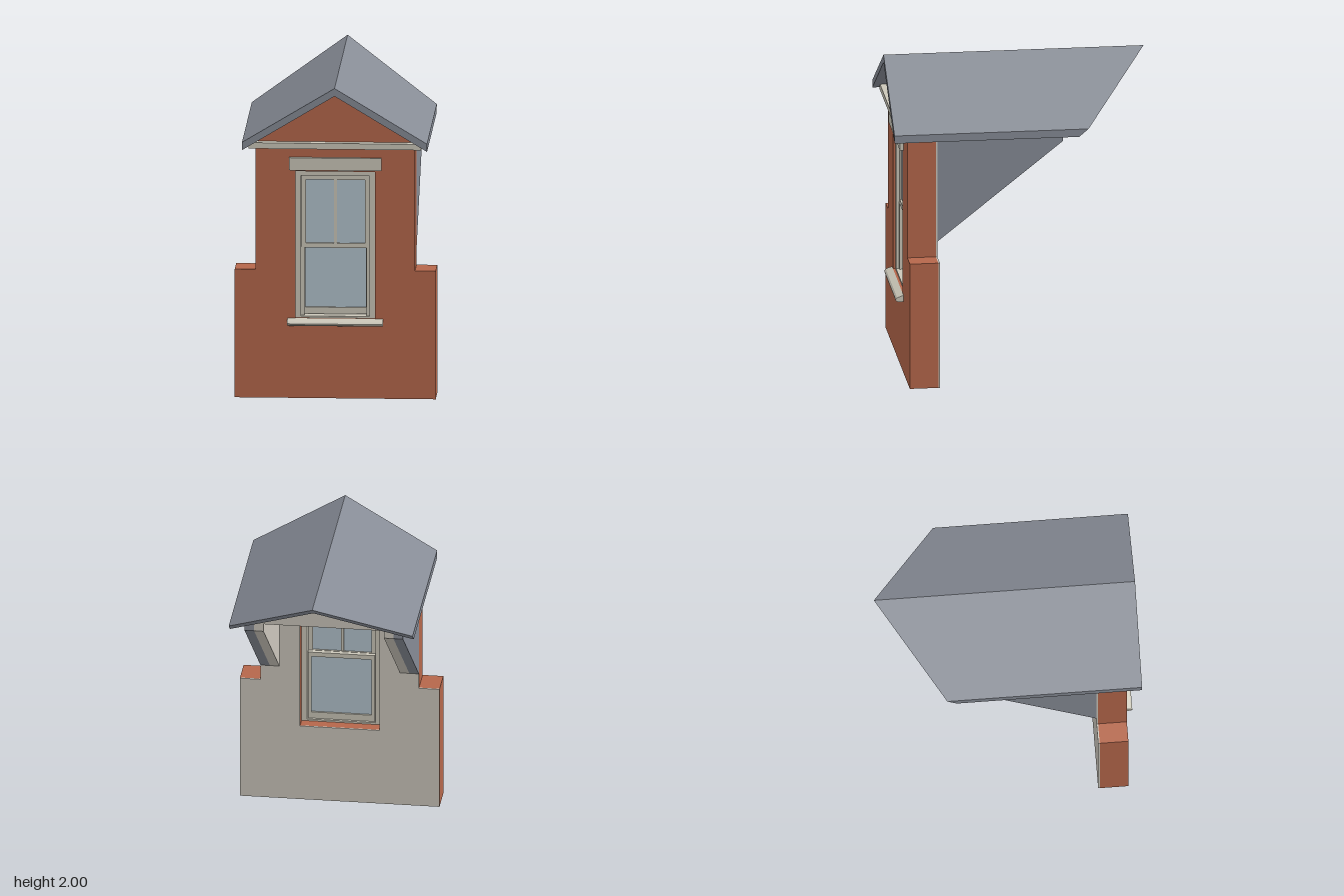
import * as THREE from 'three';

const mat = (name, color) => {
  const m = new THREE.MeshStandardMaterial({ color });
  m.name = name;
  return m;
};

export function createModel() {
  const model = new THREE.Group();
  model.name = 'dormer';
  const brick = mat('brick', 0xb5674b);
  const slate = mat('slate', 0x868b95);
  const plaster = mat('plaster', 0xcbc6bc);
  const trim = mat('trim', 0xcbc7b9);
  const glass = mat('glass', 0xb3c3cd);

  const add = (name, geometry, material, parent = model) => {
    const mesh = new THREE.Mesh(geometry, material);
    mesh.name = name;
    parent.add(mesh);
    return mesh;
  };
  const box = (name, x0, x1, y0, y1, z0, z1, material, parent) => {
    const g = new THREE.BoxGeometry(x1 - x0, y1 - y0, z1 - z0);
    g.translate((x0 + x1) / 2, (y0 + y1) / 2, (z0 + z1) / 2);
    return add(name, g, material, parent);
  };
  const outline = (pts) => new THREE.Shape(pts.map(([x, y]) => new THREE.Vector2(x, y)));
  // Shape in x, y, extruded from z0 to z1
  const slab = (shape, z0, z1) =>
    new THREE.ExtrudeGeometry(shape, { depth: z1 - z0, bevelEnabled: false }).translate(0, 0, z0);
  // Shape in z, y, extruded from x0 to x1
  const sideSlab = (pts, x0, x1) =>
    new THREE.ExtrudeGeometry(outline(pts), { depth: x1 - x0, bevelEnabled: false })
      .rotateY(-Math.PI / 2).translate(x1, 0, 0);
  const rectPath = (x, y0, y1) =>
    new THREE.Path([[-x, y0], [-x, y1], [x, y1], [x, y0]].map(([a, b]) => new THREE.Vector2(a, b)));
  const frame = (x, y0, y1, hx, hy0, hy1, z0, z1) => {
    const s = outline([[-x, y0], [x, y0], [x, y1], [-x, y1]]);
    s.holes.push(rectPath(hx, hy0, hy1));
    return slab(s, z0, z1);
  };

  // Roof measurements
  const slope = 0.35 / 0.58;
  const under = (x) => 1.95 - Math.abs(x) * slope;

  // Front wall with window opening, brick outside and plaster inside
  const wall = outline([
    [-0.63, 0], [0.63, 0], [0.63, 0.82], [0.5, 0.82], [0.5, under(0.5)],
    [0, 1.95], [-0.5, under(0.5)], [-0.5, 0.82], [-0.63, 0.82],
  ]);
  wall.holes.push(rectPath(0.25, 0.51, 1.45));
  add('brickWall', slab(wall, 0.55, 0.73), brick);
  add('wallPlaster', slab(wall, 0.54, 0.55), plaster);

  // Pitched roof; its back end is cut along the slope of the main roof
  const roof = slab(outline([
    [-0.58, 1.6], [0, 1.95], [0.58, 1.6], [0.58, 1.65], [0, 2], [-0.58, 1.65],
  ]), -0.82, 0.82);
  const p = roof.attributes.position;
  for (let i = 0; i < p.count; i++) {
    if (p.getZ(i) < 0) p.setZ(i, -0.82 + (2 - p.getY(i)) * 1.19);
  }
  roof.computeVertexNormals();
  add('roof', roof, slate);

  // Side cheeks: slate outside, plaster lining inside
  const cheek = (top) => [[-0.25, 1.55], [0.54, 0.92], [0.54, top], [-0.25, top]];
  for (const side of [1, -1]) {
    const layer = (name, a, b, top, m) =>
      add(name, sideSlab(cheek(top), side > 0 ? a : -b, side > 0 ? b : -a), m);
    layer('cheekSlate', 0.44, 0.5, 1.67, slate);
    layer('cheekLining', 0.38, 0.44, 1.7, plaster);
  }

  // Flat ceiling and the small gable closing the roof space behind
  box('ceiling', -0.38, 0.38, 1.6, 1.61, -0.245, 0.54, slate);
  add('backGable', slab(outline([
    [-0.38, 1.6], [0.38, 1.6], [0.38, under(0.38)], [0, 1.95], [-0.38, under(0.38)],
  ]), -0.25, -0.21), plaster);

  // Stone trim on the front
  box('gableBand', -0.54, 0.54, 1.602, 1.64, 0.73, 0.78, trim);
  box('lintel', -0.29, 0.29, 1.46, 1.54, 0.73, 0.752, trim);
  add('sill', sideSlab([
    [0.73, 0.468], [0.765, 0.468], [0.778, 0.475], [0.78, 0.484], [0.77, 0.495], [0.73, 0.51],
  ], -0.3, 0.3), trim);

  // Sash window
  const win = new THREE.Group();
  win.name = 'window';
  model.add(win);
  add('windowFrame', frame(0.25, 0.51, 1.45, 0.215, 0.522, 1.42, 0.62, 0.715), trim, win);
  for (const s of [1, -1]) {
    const x = s * 0.207;
    box('lowerStop', x - 0.012, x + 0.012, 0.52, 0.96, 0.67, 0.695, trim, win);
  }
  add('upperSash', frame(0.212, 0.955, 1.42, 0.185, 0.985, 1.39, 0.665, 0.695), trim, win);
  box('upperGlass', -0.187, 0.187, 0.983, 1.392, 0.677, 0.683, glass, win);
  box('glazingBar', -0.009, 0.009, 0.985, 1.39, 0.668, 0.692, trim, win);
  add('lowerSash', frame(0.212, 0.525, 0.985, 0.19, 0.568, 0.955, 0.63, 0.66), trim, win);
  box('lowerGlass', -0.192, 0.192, 0.566, 0.957, 0.642, 0.648, glass, win);

  return model;
}
